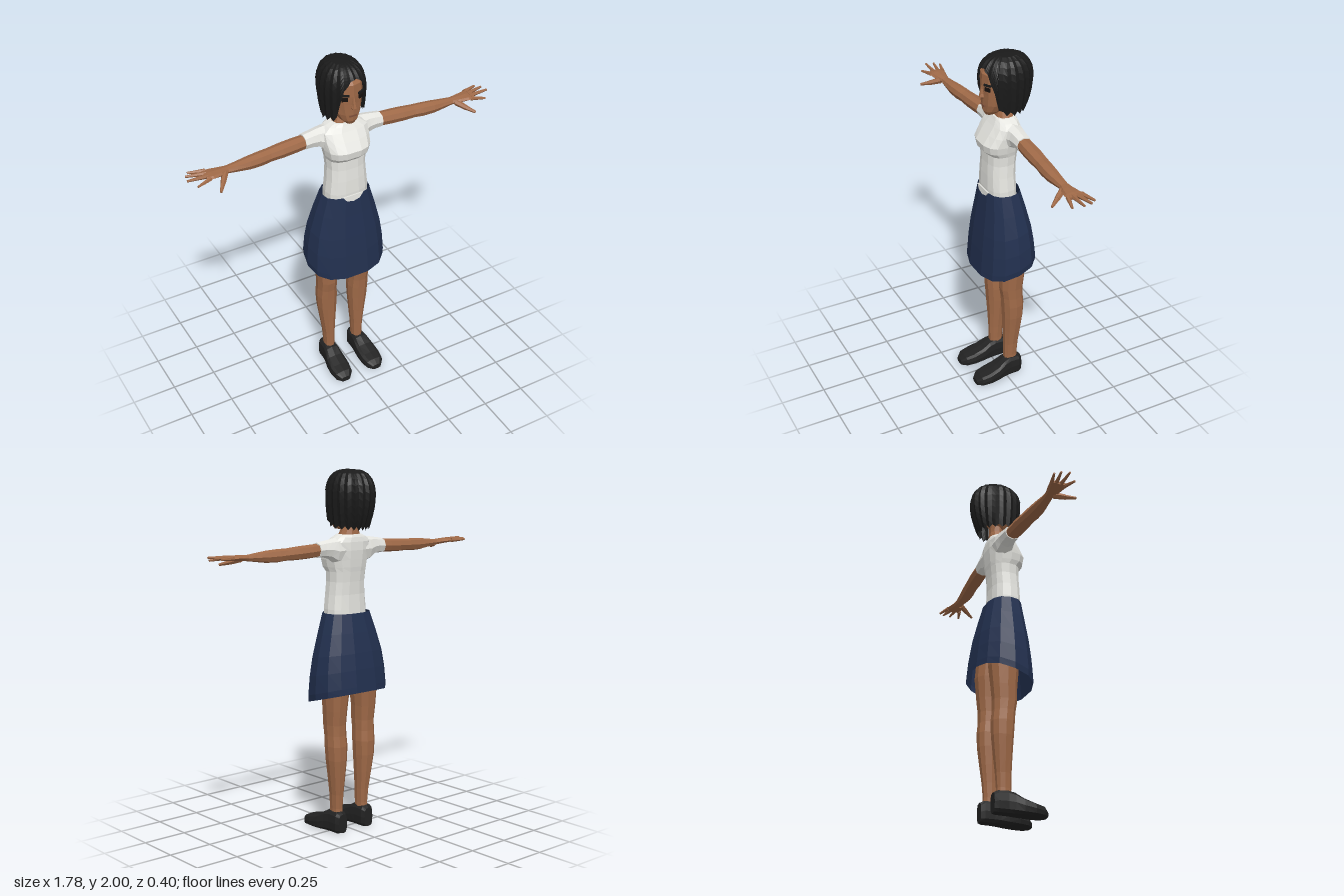
import * as THREE from 'three';

const material = (name, color, side = THREE.FrontSide) => {
  const m = new THREE.MeshStandardMaterial({ color, side });
  m.name = name;
  return m;
};

// Faceted geometry from a grid of points (rows of equal length), outward for the order used below
function facet(points, index) {
  const g = new THREE.BufferGeometry();
  g.setAttribute('position', new THREE.Float32BufferAttribute(points.flat(), 3));
  g.setIndex(index);
  const flat = g.toNonIndexed();
  flat.computeVertexNormals();
  return flat;
}

// Rings are [t, u0, u1, v0, v1]: station along the axis, then the two extents across it
const AXES = {
  x: (t, u, v) => [t, v, u], // u = z, v = y
  y: (t, u, v) => [u, t, v], // u = x, v = z
  z: (t, u, v) => [v, u, t], // u = y, v = x
};
function loft(axis, rings, { sides = 8, power = 0.85, mirror = 1, caps = true, warp = (p) => p } = {}) {
  const points = [], index = [];
  const soft = (c) => Math.sign(c) * Math.abs(c) ** power;
  const tri = (a, b, c) => (mirror > 0 ? index.push(a, c, b) : index.push(a, b, c));
  const add = (t, u, v) => {
    const p = warp(AXES[axis](t, u, v));
    points.push([p[0] * mirror, p[1], p[2]]);
  };
  for (const [t, u0, u1, v0, v1] of rings) {
    for (let i = 0; i < sides; i++) {
      const a = (i / sides) * Math.PI * 2;
      const c = Math.abs(Math.cos(a)) < 1e-6 ? 0 : Math.cos(a), s = Math.abs(Math.sin(a)) < 1e-6 ? 0 : Math.sin(a);
      add(t, (u0 + u1) / 2 + ((u1 - u0) / 2) * soft(c), (v0 + v1) / 2 + ((v1 - v0) / 2) * soft(s));
    }
  }
  for (let j = 0; j < rings.length - 1; j++) {
    for (let i = 0; i < sides; i++) {
      const k = (i + 1) % sides, a = j * sides, b = a + sides;
      tri(a + i, a + k, b + k);
      tri(a + i, b + k, b + i);
    }
  }
  if (caps) {
    const last = (rings.length - 1) * sides;
    for (let i = 1; i < sides - 1; i++) {
      tri(0, i + 1, i);
      tri(last, last + i, last + i + 1);
    }
  }
  return facet(points, index);
}

// Tapered rod between two points
function rod(a, b, r0, r1) {
  const from = new THREE.Vector3(...a), to = new THREE.Vector3(...b), dir = to.clone().sub(from);
  const g = new THREE.CylinderGeometry(r1, r0, dir.length(), 6).toNonIndexed();
  g.computeVertexNormals();
  g.applyQuaternion(new THREE.Quaternion().setFromUnitVectors(new THREE.Vector3(0, 1, 0), dir.normalize()));
  return g.translate(...from.add(to).multiplyScalar(0.5).toArray());
}

// Bob haircut: columns run from the crown to a hem that is high over the face
function hairGeometry() {
  const keys = [[0, 1.945], [18, 1.93], [34, 1.88], [44, 1.79], [52, 1.7], [90, 1.685], [181, 1.675]];
  const hemAt = (d) => {
    const k = keys.findIndex((e) => e[0] > d);
    const [d0, y0] = keys[k - 1], [d1, y1] = keys[k];
    return y0 + ((y1 - y0) * (d - d0)) / (d1 - d0);
  };
  const columns = 40, steps = 10, points = [], index = [];
  for (let i = 0; i < columns; i++) {
    const theta = (i / columns) * Math.PI * 2;
    const degrees = (Math.abs(Math.atan2(Math.sin(theta - 0.08), Math.cos(theta - 0.08))) * 180) / Math.PI;
    const hem = hemAt(degrees) + (i % 2 && degrees > 50 ? 0.02 : 0);
    const taper = 0.06 + 0.1 * Math.max(0, -Math.cos(theta));
    const length = hem > 1.87 ? Math.acos((hem - 1.87) / 0.13) : Math.PI / 2 + (1.87 - hem) / 0.13;
    for (let j = 0; j <= steps; j++) {
      const s = (length * j) / steps, d = Math.max(0, s - Math.PI / 2);
      const y = d > 0 ? 1.87 - 0.13 * d : 1.87 + 0.13 * Math.cos(s);
      const r = (d > 0 ? 1 - taper * d * d : Math.sin(s) ** 0.65) * (i % 2 ? 0.95 : 1.01);
      points.push([0.121 * r * Math.sin(theta), y, -0.045 + 0.152 * r * Math.cos(theta)]);
    }
  }
  for (let i = 0; i < columns; i++) {
    const a = i * (steps + 1), b = ((i + 1) % columns) * (steps + 1);
    for (let j = 0; j < steps; j++) {
      if (j > 0) index.push(a + j, b + j + 1, b + j);
      index.push(a + j, a + j + 1, b + j + 1);
    }
  }
  return facet(points, index);
}

export function createModel() {
  const skin = material('brown skin', 0xa06a48);
  const white = material('white cotton', 0xe6e6e1);
  const navy = material('navy cloth', 0x22304f, THREE.DoubleSide);
  const black = material('black hair', 0x1a1a1a, THREE.DoubleSide);
  const leather = material('black leather', 0x222222);
  const dark = material('dark eye', 0x17110f);
  const lip = material('lip', 0x80503a);

  const model = new THREE.Group();
  const part = (name, geometry, mat) => {
    const mesh = new THREE.Mesh(geometry, mat);
    mesh.name = name;
    model.add(mesh);
    return mesh;
  };

  // Symmetric upright ring: height, half width, back and front
  const ring = (y, w, z0, z1) => [y, -w, w, z0, z1];

  // Shirt body with the bust, and its tail over the waistband
  part('shirt', loft('y', [
    ring(1.2, 0.122, -0.085, 0.08), ring(1.25, 0.122, -0.083, 0.082), ring(1.33, 0.113, -0.08, 0.08),
    ring(1.4, 0.108, -0.084, 0.076), ring(1.455, 0.112, -0.09, 0.076), ring(1.48, 0.12, -0.094, 0.1),
    ring(1.52, 0.128, -0.098, 0.107), ring(1.57, 0.135, -0.102, 0.075), ring(1.615, 0.135, -0.1, 0.045),
    ring(1.64, 0.1, -0.095, 0.03), ring(1.655, 0.065, -0.088, 0.022),
  ], { sides: 14, power: 0.75 }), white);
  const tail = new THREE.Shape([[-0.06, 0.03], [-0.04, 0.004], [-0.018, -0.002], [0, -0.008], [0.018, -0.002],
    [0.04, 0.004], [0.06, 0.03]].map((p) => new THREE.Vector2(...p)).reverse());
  part('shirtTail', new THREE.ExtrudeGeometry(tail, { depth: 0.009, bevelEnabled: false })
    .rotateX(-0.08).translate(0, 1.207, 0.083), white);

  // Flared skirt, its hem lower at the front
  part('skirt', loft('y', [
    ring(0.765, 0.225, -0.185, 0.142), ring(0.8, 0.229, -0.182, 0.139), ring(0.9, 0.222, -0.172, 0.13),
    ring(1.0, 0.206, -0.158, 0.118), ring(1.12, 0.173, -0.132, 0.1), ring(1.23, 0.138, -0.105, 0.086),
  ], {
    sides: 14, power: 0.8, caps: false,
    warp: ([x, y, z]) => [x, y - (z + 0.02) * 0.27 * Math.min(1, (1.23 - y) / 0.4), z],
  }), navy);

  // Neck and head
  part('neck', loft('y', [
    ring(1.61, 0.08, -0.09, 0.02), ring(1.66, 0.056, -0.085, 0.012), ring(1.69, 0.042, -0.08, 0.004),
    ring(1.77, 0.042, -0.08, 0.01),
  ], { sides: 10 }), skin);
  part('head', loft('y', [
    ring(1.678, 0.024, 0.015, 0.07), ring(1.7, 0.048, -0.03, 0.082), ring(1.74, 0.072, -0.08, 0.085),
    ring(1.8, 0.086, -0.125, 0.087), ring(1.845, 0.09, -0.14, 0.09), ring(1.91, 0.084, -0.13, 0.088),
    ring(1.95, 0.058, -0.1, 0.055),
  ], { sides: 12 }), skin);
  part('nose', loft('y', [
    ring(1.772, 0.009, 0.07, 0.09), ring(1.782, 0.015, 0.07, 0.106), ring(1.8, 0.01, 0.07, 0.102),
    ring(1.85, 0.006, 0.07, 0.09),
  ], { sides: 6 }), skin);
  part('mouth', new THREE.BoxGeometry(0.04, 0.009, 0.008).translate(0, 1.732, 0.082), lip);
  part('hair', hairGeometry(), black);

  for (const s of [1, -1]) {
    const side = s > 0 ? 'left' : 'right';
    const add = (name, geometry, mat) => part(side + name, geometry, mat);
    const o = { mirror: s };

    // Eye and brow
    add('Eye', new THREE.BoxGeometry(0.032, 0.02, 0.008).rotateY(s * 0.42).translate(s * 0.047, 1.837, 0.081), dark);
    add('Brow', new THREE.BoxGeometry(0.044, 0.01, 0.009).rotateZ(s * 0.06).rotateY(s * 0.42)
      .translate(s * 0.047, 1.86, 0.081), black);

    // Sleeve: x, then back and front, then bottom and top
    add('Sleeve', loft('x', [
      [0.07, -0.095, 0.03, 1.5, 1.645], [0.115, -0.095, 0.02, 1.505, 1.637], [0.15, -0.088, 0.01, 1.53, 1.632],
      [0.19, -0.082, 0.008, 1.54, 1.626], [0.23, -0.08, 0.007, 1.54, 1.62],
    ], o), white);

    // Arm and palm
    add('Arm', loft('x', [
      [0.2, -0.074, 0.002, 1.546, 1.615], [0.28, -0.076, 0.008, 1.54, 1.612], [0.36, -0.073, 0.012, 1.537, 1.608],
      [0.43, -0.066, 0.012, 1.538, 1.602], [0.48, -0.062, 0.017, 1.533, 1.602], [0.55, -0.055, 0.019, 1.535, 1.598],
      [0.62, -0.046, 0.014, 1.545, 1.59], [0.67, -0.042, 0.01, 1.552, 1.584], [0.71, -0.047, 0.024, 1.556, 1.586],
      [0.76, -0.058, 0.036, 1.561, 1.587], [0.795, -0.057, 0.032, 1.566, 1.584],
    ], o), skin);

    // Fingers: knuckle, tip
    const fingers = [
      [[0.775, 1.575, -0.048], [0.862, 1.577, -0.072]], [[0.78, 1.576, -0.024], [0.884, 1.58, -0.042]],
      [[0.78, 1.576, 0.001], [0.892, 1.583, 0.003]], [[0.775, 1.573, 0.024], [0.855, 1.563, 0.047]],
    ];
    const flip = ([x, y, z]) => [s * x, y, z];
    fingers.forEach(([a, b], i) => add('Finger' + (i + 1), rod(flip(a), flip(b), 0.0125, 0.006), skin));
    add('ThumbBase', rod(flip([0.69, 1.564, 0.004]), flip([0.725, 1.545, 0.055]), 0.018, 0.014), skin);
    add('Thumb', rod(flip([0.72, 1.547, 0.048]), flip([0.757, 1.531, 0.1]), 0.014, 0.007), skin);

    // Leg: y, then inside and outside, then back and front
    add('Leg', loft('y', [
      [0.06, 0.062, 0.122, -0.078, 0.005], [0.14, 0.063, 0.121, -0.074, 0.006], [0.22, 0.06, 0.126, -0.08, 0.007],
      [0.32, 0.053, 0.14, -0.092, 0.01], [0.42, 0.046, 0.154, -0.103, 0.015], [0.5, 0.043, 0.159, -0.106, 0.02],
      [0.56, 0.047, 0.157, -0.1, 0.024], [0.62, 0.047, 0.158, -0.1, 0.034], [0.7, 0.043, 0.164, -0.108, 0.034],
      [0.82, 0.03, 0.17, -0.12, 0.045], [1.0, 0.015, 0.15, -0.11, 0.06],
    ], { ...o, sides: 10 }), skin);

    // Shoe: z, then bottom and top, then inside and outside
    add('Shoe', loft('z', [
      [-0.095, 0.004, 0.112, 0.066, 0.124], [-0.075, 0, 0.124, 0.054, 0.138], [-0.02, 0, 0.128, 0.052, 0.14],
      [0.015, 0, 0.12, 0.049, 0.146], [0.06, 0, 0.092, 0.043, 0.158], [0.12, 0, 0.072, 0.041, 0.164],
      [0.17, 0, 0.06, 0.05, 0.157], [0.198, 0.004, 0.036, 0.076, 0.132],
    ], { ...o, sides: 12, power: 0.6 }), leather);
  }
  return model;
}
